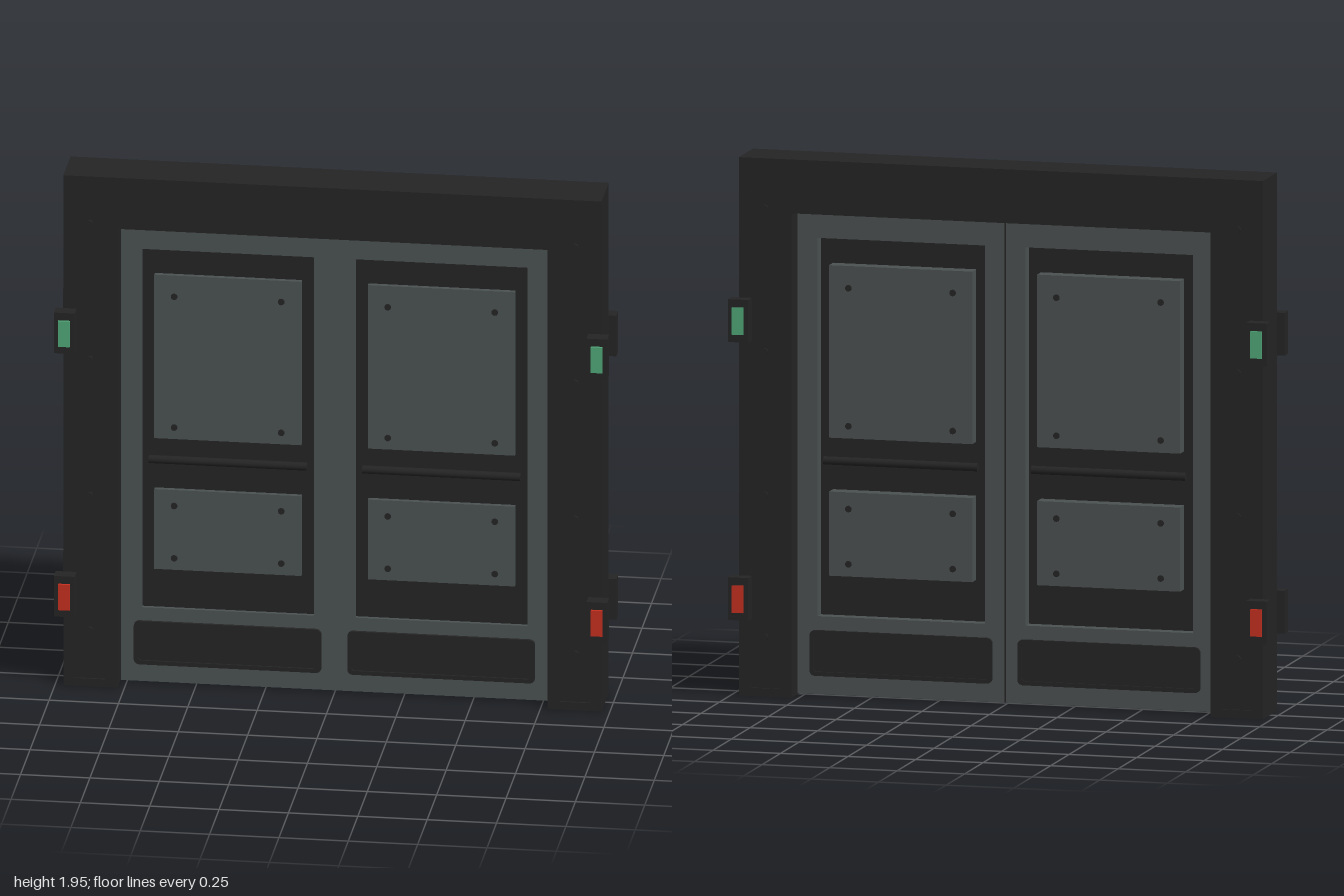
import * as THREE from 'three';

const mat = (name, color) => Object.assign(new THREE.MeshStandardMaterial({ color }), { name });

// Rectangle outline, optionally with rounded corners
function rect(T, x0, y0, x1, y1, r = 0) {
  const s = new T();
  if (!r) {
    s.moveTo(x0, y0).lineTo(x1, y0).lineTo(x1, y1).lineTo(x0, y1).closePath();
    return s;
  }
  s.moveTo(x0 + r, y0);
  s.absarc(x1 - r, y0 + r, r, -Math.PI / 2, 0);
  s.absarc(x1 - r, y1 - r, r, 0, Math.PI / 2);
  s.absarc(x0 + r, y1 - r, r, Math.PI / 2, Math.PI);
  s.absarc(x0 + r, y0 + r, r, Math.PI, Math.PI * 1.5);
  return s;
}

export function createModel() {
  const dark = mat('dark steel', 0x242424);
  const grey = mat('grey steel', 0x4b5151);
  const green = mat('green lens', 0x50a878);
  const red = mat('red lens', 0xc6301f);
  const root = new THREE.Group();
  root.name = 'doubleDoor';

  const add = (parent, name, geo, m) => {
    const mesh = new THREE.Mesh(geo, m);
    mesh.name = name;
    parent.add(mesh);
    return mesh;
  };
  const box = (parent, name, m, x0, x1, y0, y1, z0, z1) => {
    const mesh = add(parent, name, new THREE.BoxGeometry(x1 - x0, y1 - y0, z1 - z0), m);
    mesh.position.set((x0 + x1) / 2, (y0 + y1) / 2, (z0 + z1) / 2);
    return mesh;
  };
  const slab = (parent, name, m, shape, z0, z1) => {
    const geo = new THREE.ExtrudeGeometry(shape, { depth: z1 - z0, bevelEnabled: false, curveSegments: 5 });
    return add(parent, name, geo.translate(0, 0, z0), m);
  };
  const boltGeo = new THREE.CylinderGeometry(0.012, 0.012, 0.012, 10).rotateX(Math.PI / 2);
  const bolt = (parent, x, y, z) => add(parent, 'bolt', boltGeo, dark).position.set(x, y, z);

  // Portal frame, with a shallow groove down both faces of each post
  const portal = new THREE.Shape();
  [[-0.97, 0], [-0.775, 0], [-0.775, 1.755], [0.775, 1.755], [0.775, 0], [0.97, 0], [0.97, 1.95], [-0.97, 1.95]]
    .forEach(([x, y], i) => (i ? portal.lineTo(x, y) : portal.moveTo(x, y)));
  portal.closePath();
  for (const s of [-1, 1]) portal.holes.push(rect(THREE.Path, s * 0.875 - 0.055, 0.03, s * 0.875 + 0.055, 1.84));
  slab(root, 'frame', dark, portal, -0.095, 0.095);

  for (const s of [-1, 1]) {
    box(root, 'postGroove', dark, s * 0.875 - 0.055, s * 0.875 + 0.055, 0.03, 1.84, -0.088, 0.088);
    for (const f of [-1, 1]) {
      for (const y of [0.215, 0.73, 1.25, 1.77]) bolt(root, s * 0.875, y, f * 0.092);
      // Signal lamps on both faces
      for (const [y, lens] of [[0.358, red], [1.365, green]]) {
        const lamp = new THREE.Group();
        lamp.name = 'signalLamp';
        lamp.position.set(s * 0.96, y, f * 0.095);
        root.add(lamp);
        add(lamp, 'lampHousing', new THREE.BoxGeometry(0.075, 0.155, 0.05), dark).position.z = f * 0.025;
        add(lamp, 'lampLens', new THREE.BoxGeometry(0.042, 0.098, 0.03), lens).position.z = f * 0.045;
      }
    }
  }

  // Two door leaves
  for (const s of [-1, 1]) {
    const leaf = new THREE.Group();
    leaf.name = s < 0 ? 'rightLeaf' : 'leftLeaf';
    leaf.position.x = s * 0.385;
    root.add(leaf);

    const body = rect(THREE.Shape, -0.385, 0.008, 0.385, 1.75);
    body.holes.push(rect(THREE.Path, -0.31, 0.29, 0.31, 1.66));
    slab(leaf, 'leafFrame', grey, body, -0.035, 0.035);
    box(leaf, 'backPanel', dark, -0.31, 0.31, 0.29, 1.66, 0.008, 0.02);

    // Armour plates with corner bolts
    for (const [y0, y1] of [[0.44, 0.745], [0.94, 1.565]]) {
      box(leaf, 'armourPlate', grey, -0.265, 0.265, y0, y1, -0.045, 0.038);
      for (const x of [-0.193, 0.193])
        for (const y of [y0 + 0.045, y1 - (y1 - y0 > 0.5 ? 0.08 : 0.06)])
          for (const z of [-0.044, 0.037]) bolt(leaf, x, y, z);
    }

    // Crossbars
    for (const z of [-0.043, 0.031]) {
      const bar = add(leaf, 'crossbar', new THREE.CylinderGeometry(0.015, 0.015, 0.57, 12), dark);
      bar.rotation.z = Math.PI / 2;
      bar.position.set(0, 0.857, z);
    }

    // Kick plates with a raised rounded rim
    const rim = rect(THREE.Shape, -0.338, 0.075, 0.338, 0.24, 0.02);
    rim.holes.push(rect(THREE.Path, -0.323, 0.09, 0.323, 0.225, 0.012));
    slab(leaf, 'kickRim', dark, rim, -0.046, 0.046);
    box(leaf, 'kickPlate', dark, -0.325, 0.325, 0.088, 0.227, -0.039, 0.039);
  }

  // Meeting seam on the rear face
  box(root, 'meetingSeam', dark, -0.003, 0.003, 0.008, 1.75, -0.036, -0.03);
  return root;
}
